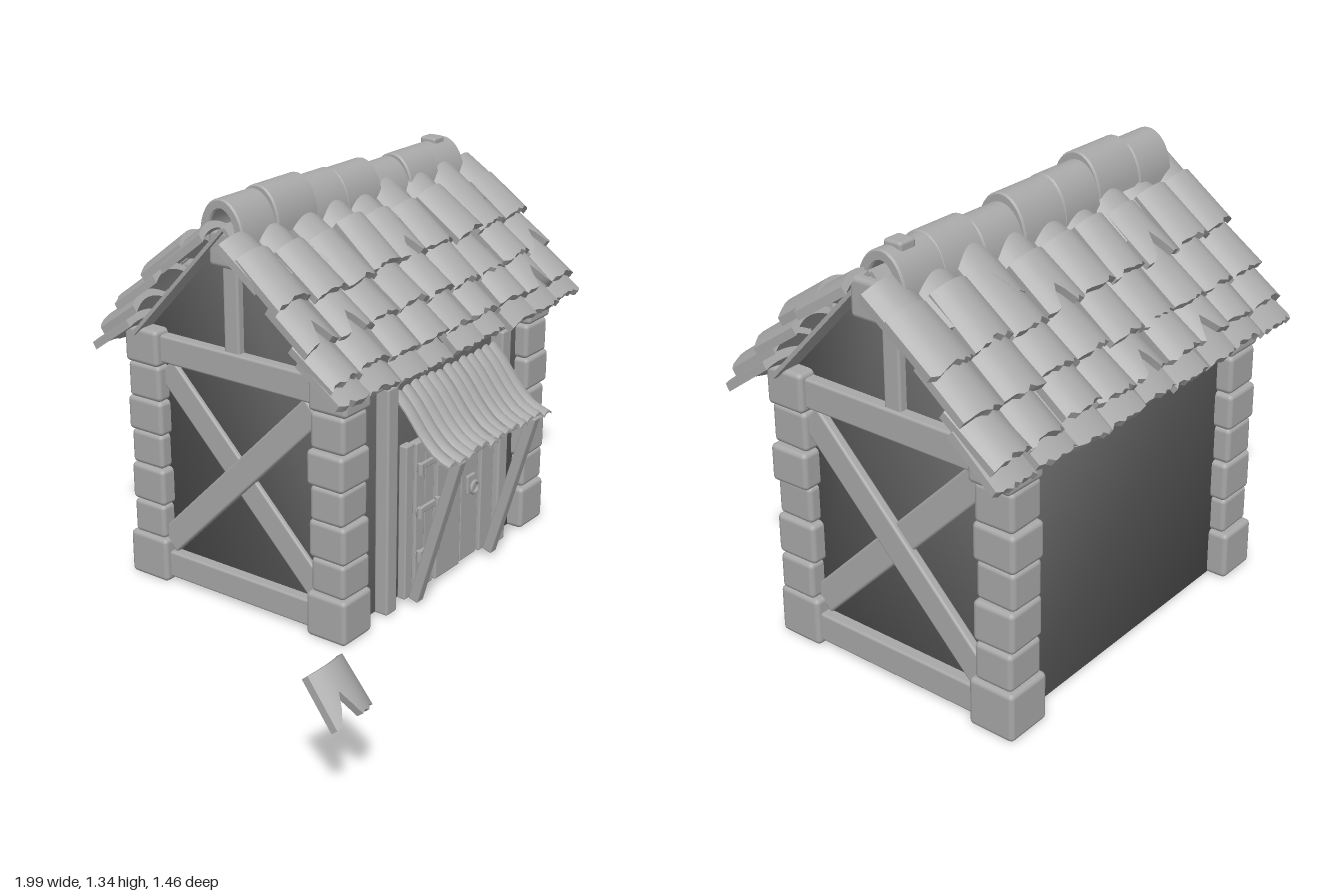
import * as THREE from 'three';
import { mergeVertices, toCreasedNormals } from 'three/addons/utils/BufferGeometryUtils.js';
import { RoundedBoxGeometry } from 'three/addons/geometries/RoundedBoxGeometry.js';

const mat = new THREE.MeshStandardMaterial({ color: 0xa8a8a8 });
const thin = new THREE.MeshStandardMaterial({ color: 0xa8a8a8, side: THREE.DoubleSide });
const dark = new THREE.MeshStandardMaterial({ color: 0x646464 });

export function createModel() {
  let seed = 7;
  const rnd = () => (seed = (seed * 16807) % 2147483647) / 2147483647;
  const vary = (a) => (rnd() - 0.5) * 2 * a;

  const root = new THREE.Group();
  root.name = 'shed';
  const add = (parent, name, geo, x = 0, y = 0, z = 0, m = mat) => {
    const mesh = new THREE.Mesh(geo, m);
    mesh.name = name;
    mesh.position.set(x, y, z);
    parent.add(mesh);
    return mesh;
  };
  const group = (parent, name, x = 0, y = 0, z = 0) => {
    const g = new THREE.Group();
    g.name = name;
    g.position.set(x, y, z);
    parent.add(g);
    return g;
  };
  const block = (w, h, d, r = 0.008) => new RoundedBoxGeometry(w, h, d, 2, r);
  // reshape every vertex by a rule, then restore crisp normals
  const reshape = (geo, rule) => {
    const p = geo.attributes.position, v = new THREE.Vector3();
    for (let i = 0; i < p.count; i++) {
      rule(v.fromBufferAttribute(p, i));
      p.setXYZ(i, v.x, v.y, v.z);
    }
    return toCreasedNormals(geo, 0.7);
  };

  // Arched clay tile lying in xz, lower end at +z, ragged and sometimes notched
  const tileGeo = (w, l, notch = 0, arch = 0.13) => {
    const n = 10, end = [];
    const at = 3 + Math.floor(rnd() * 4);
    for (let i = 0; i <= n; i++) {
      const d = Math.abs(i - at);
      end.push(1 + vary(0.045) - (d < 2 ? notch * (1 - d * 0.45) : 0));
    }
    return reshape(new THREE.BoxGeometry(w, 0.024, l, n, 1, 3), (v) => {
      const u = v.x / w;
      v.z = -l / 2 + (v.z + l / 2) * end[Math.round((u + 0.5) * n)];
      v.x *= 0.96 + 0.06 * (v.z / l + 0.5);
      v.y += arch * (0.11 - u * u);
    });
  };

  // House body: one prism with soft shading across its edges
  const house = group(root, 'house', 0.3, 0, -0.235);
  const outline = [[-0.375, 0.01], [0.375, 0.01], [0.375, 0.85], [0, 1.24], [-0.375, 0.85]];
  const prism = new THREE.ExtrudeGeometry(new THREE.Shape(outline.map((p) => new THREE.Vector2(...p))),
    { depth: 1.06, bevelEnabled: false });
  prism.deleteAttribute('normal');
  prism.deleteAttribute('uv');
  const walls = mergeVertices(prism.translate(0, 0, -0.53).rotateY(Math.PI / 2));
  walls.computeVertexNormals();
  add(house, 'walls', walls, 0, 0, 0, dark);

  // Timber frame on both gable ends
  for (const s of [-1, 1]) {
    const side = group(house, s > 0 ? 'leftGable' : 'rightGable');
    side.rotation.y = s * Math.PI / 2;
    // local x runs along the depth, local z points outward
    add(side, 'sillBeam', block(0.62, 0.09, 0.05), 0, 0.065, 0.54);
    add(side, 'topBeam', block(0.62, 0.09, 0.05), 0, 0.805, 0.54);
    add(side, 'kingPost', block(0.058, 0.3, 0.04), s * 0.012, 0.99, 0.535);
    for (const k of [-1, 1]) {
      const brace = add(side, 'crossBrace', block(0.84, 0.088, 0.03), 0, 0.44, 0.537 + k * 0.007);
      brace.rotation.z = k * -s * 0.79;
    }
  }

  // Corner pillars of rounded stones
  const levels = [0.005, 0.155, 0.27, 0.395, 0.51, 0.625, 0.745, 0.865];
  for (const sx of [-1, 1]) for (const sz of [-1, 1]) {
    const pillar = group(house, 'cornerPillar', sx * 0.513, 0, sz * 0.359);
    for (let i = 0; i < 7; i++) {
      const h = levels[i + 1] - levels[i], big = i === 0 ? 0.15 : i % 2 ? 0.126 : 0.136;
      const stone = add(pillar, 'stone', block(big + vary(0.008), h, big + vary(0.005), 0.015),
        vary(0.006), levels[i] + h / 2, vary(0.003));
      if (i) stone.rotation.y = vary(0.03);
    }
  }

  // Roof: boards, overlapping tile rows per slope, ridge
  const roof = group(root, 'roof', 0.305, 0, -0.235);
  // lower end (distance from ridge, height) of each row, eave first
  const rows = [[0.478, 0.808], [0.45, 0.875], [0.37, 0.965], [0.275, 1.07], [0.19, 1.115]];
  for (const turn of [0, Math.PI]) {
    const slope = group(roof, turn ? 'backSlope' : 'frontSlope');
    slope.rotation.y = turn;
    const board = add(slope, 'roofBoards', new THREE.BoxGeometry(1.2, 0.012, 0.55), 0, 1.045, 0.19);
    board.rotation.x = Math.atan2(0.4, 0.375);
    rows.forEach(([z, y], r) => {
      for (let c = 0; c < 9; c++) {
        const l = 0.185 + vary(0.012), a = 0.63 + vary(0.04);
        const notch = r > 0 && rnd() < 0.22 ? 0.4 : 0;
        const tile = add(slope, 'roofTile', tileGeo(0.148 + vary(0.006), l, notch, r ? 0.12 : 0.05),
          (c - 4) * 0.15 + vary(0.008),
          y + Math.sin(a) * l / 2 + 0.005 + vary(0.008),
          z - Math.cos(a) * l / 2 + vary(0.008));
        tile.rotation.set(a, vary(0.04), vary(0.05));
      }
    });
  }
  add(roof, 'ridgeBeam', block(1.21, 0.115, 0.125, 0.015), 0.02, 1.175, -0.01);
  const ridge = [[-0.28, -0.12, 1.33], [-0.125, 0.07, 1.342], [0.07, 0.235, 1.322], [0.23, 0.415, 1.318],
    [0.41, 0.57, 1.293], [0.565, 0.73, 1.303], [0.725, 0.885, 1.3]];
  ridge.forEach(([x0, x1, top], i) => {
    const arch = new THREE.Shape();
    arch.absellipse(0, 0, 0.08, 0.125, 0, Math.PI, false);
    arch.absellipse(0, 0, 0.057, 0.102, Math.PI, 0, true);
    const geo = toCreasedNormals(new THREE.ExtrudeGeometry(arch, {
      depth: x1 - x0 - 0.012, curveSegments: 12, bevelSize: 0.005, bevelThickness: 0.005, bevelSegments: 1,
    }), 0.7);
    const cap = add(roof, 'ridgeTile', geo, x0 - 0.305, top - 0.13, -0.012 + vary(0.005));
    cap.rotation.set(0, Math.PI / 2, i % 2 ? 0.04 : -0.04);
  });
  add(roof, 'ridgeStone', block(0.06, 0.05, 0.06, 0.01), 0.505, 1.288, -0.015);

  // Door frame
  const front = group(root, 'entrance');
  for (const x of [-0.028, 0.612]) add(front, 'doorPost', block(0.055, 0.76, 0.05), x, 0.39, 0.165);
  add(front, 'lintel', block(0.92, 0.035, 0.05), 0.3, 0.785, 0.155);

  // Plank door with hinges and ring handle
  const door = group(front, 'door');
  [[0.055, 0.1], [0.1, 0.155], [0.157, 0.213], [0.22, 0.365], [0.37, 0.475], [0.48, 0.56]].forEach(([a, b], i) =>
    add(door, 'doorPlank', block(b - a - 0.004, 0.52 + vary(0.01), 0.03, 0.005), (a + b) / 2, 0.28, 0.165 + (i % 2) * 0.006));
  for (const y of [0.16, 0.31, 0.46]) {
    add(door, 'hingeStrap', block(0.11, 0.022, 0.012, 0.004), 0.155, y, 0.191);
    const pin = new THREE.CylinderGeometry(0.01, 0.01, 0.035, 10);
    add(door, 'hingePin', pin, 0.105, y, 0.2);
    add(door, 'hingePin', pin, 0.205, y, 0.2);
  }
  add(door, 'handlePlate', block(0.045, 0.065, 0.012, 0.004), 0.415, 0.295, 0.187);
  add(door, 'handleRing', new THREE.TorusGeometry(0.02, 0.006, 8, 20), 0.415, 0.287, 0.204);

  // Curved awning of narrow arched strips
  const awning = group(front, 'awning');
  const sag = new THREE.CatmullRomCurve3([[0.16, 0.735], [0.205, 0.69], [0.26, 0.62], [0.315, 0.57], [0.38, 0.545]]
    .map(([z, y]) => new THREE.Vector3(0, y, z)));
  for (let i = 0; i < 13; i++) {
    const w = 0.0445, reach = 0.97 + vary(0.03), lift = vary(0.005);
    const strip = reshape(new THREE.BoxGeometry(w, 0.008, 1, 4, 1, 8), (v) => {
      const p = sag.getPoint((v.z + 0.5) * reach), u = v.x / w;
      v.set(v.x, p.y + v.y + lift - 0.04 * u * u, p.z);
    });
    add(awning, 'awningStrip', strip, 0.012 + (i + 0.5) * 0.0445, 0, 0, thin);
  }
  add(awning, 'awningRail', block(0.54, 0.02, 0.025, 0.005), 0.3, 0.54, 0.345);
  for (const x of [0.073, 0.507]) {
    const strut = add(awning, 'awningStrut', block(0.035, 0.54, 0.036, 0.005), x, 0.285, 0.285);
    strut.rotation.x = Math.atan2(0.15, 0.52);
  }

  // Fallen tile lying apart from the building
  const loose = add(root, 'looseTile', tileGeo(0.15, 0.15, 0.5), -0.925, 0.34, 0.663);
  loose.rotation.x = 0.9;
  return root;
}
